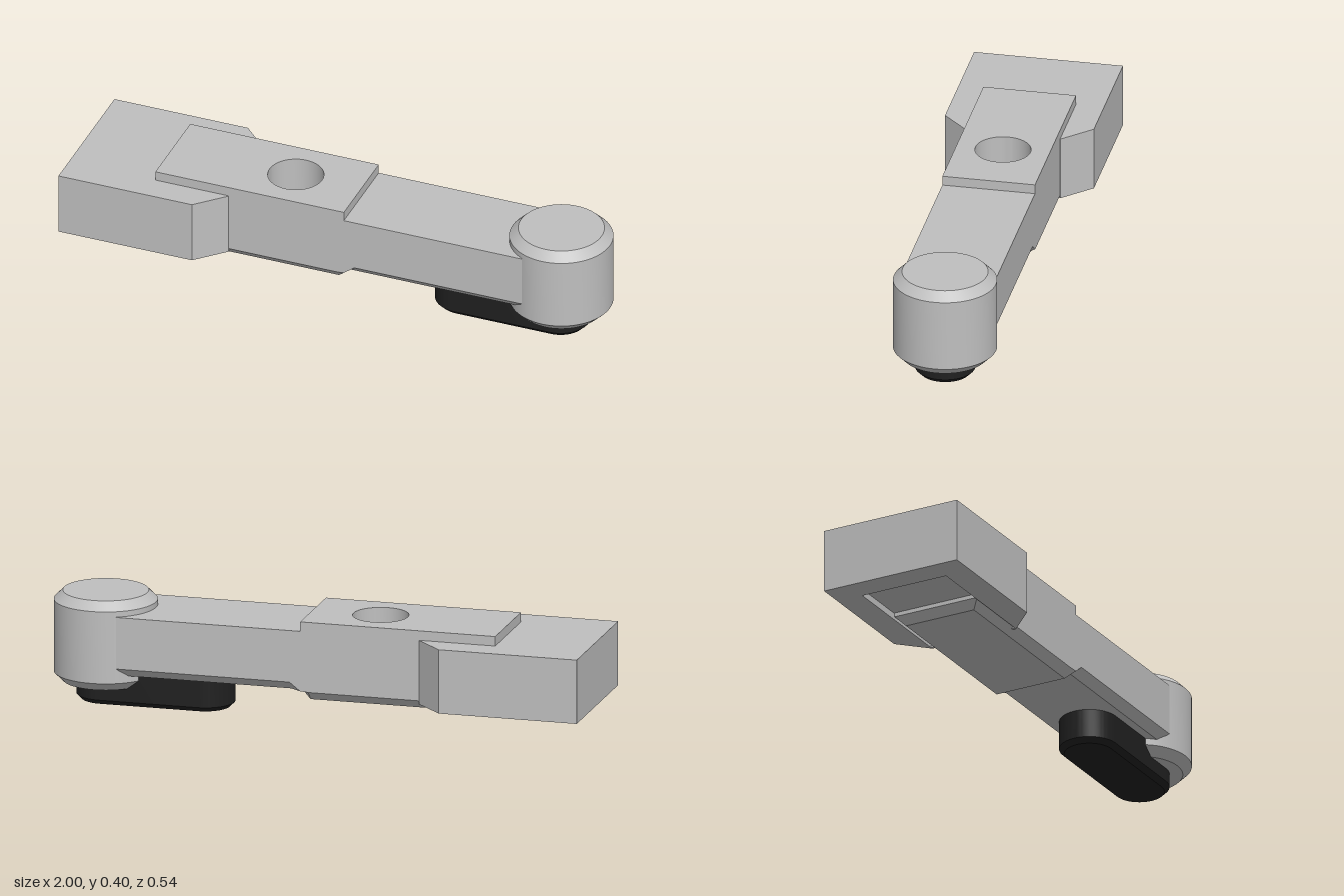
import * as THREE from 'three';
import { toCreasedNormals } from 'three/addons/utils/BufferGeometryUtils.js';

const W = 0.168; // half width of the arm

function polygon(points, Type = THREE.Shape) {
  return new Type(points.map(([x, z]) => new THREE.Vector2(x, z)));
}

function rect(x0, x1, w, Type) {
  return polygon([[x0, -w], [x1, -w], [x1, w], [x0, w]], Type);
}

// Extrude a plan outline upwards from y0 to y1
function slab(shape, y0, y1, options = {}) {
  const g = new THREE.ExtrudeGeometry(shape, { depth: y1 - y0, bevelEnabled: false, curveSegments: 32, ...options });
  g.rotateX(-Math.PI / 2);
  g.translate(0, y0, 0);
  return toCreasedNormals(g, 0.5);
}

// Bevelled underside, lofted along x from [x, side edge y, bottom y, bottom half width]
function undersideGeometry(sections, top) {
  const pos = [], idx = [], n = 6;
  sections.forEach(([x, ys, yb, h]) => {
    pos.push(x, top, W, x, top, -W, x, ys, -W, x, yb, -h, x, yb, h, x, ys, W);
  });
  for (let i = 0; i < sections.length - 1; i++) {
    for (let j = 0; j < n; j++) {
      const k = (j + 1) % n, a = i * n + j, b = i * n + k;
      idx.push(a, a + n, b + n, a, b + n, b);
    }
  }
  for (let j = 1; j < n - 1; j++) idx.push(0, j, j + 1);
  const g = new THREE.BufferGeometry();
  g.setAttribute('position', new THREE.Float32BufferAttribute(pos, 3));
  g.setIndex(idx);
  const flat = g.toNonIndexed();
  flat.computeVertexNormals();
  return flat;
}

export function createModel() {
  const model = new THREE.Group();
  model.name = 'clampArm';
  const grey = new THREE.MeshStandardMaterial({ color: 0xbfbfbf });
  grey.name = 'light grey';
  const black = new THREE.MeshStandardMaterial({ color: 0x202020 });
  black.name = 'black';

  const add = (name, geometry, material = grey) => {
    const mesh = new THREE.Mesh(geometry, material);
    mesh.name = name;
    model.add(mesh);
    return mesh;
  };

  // Wide end block with cut corners and a shallow slot underneath
  const blockOutline = () => polygon([
    [-1, -0.27], [-0.49, -0.27], [-0.39, -0.17], [-0.39, 0.17], [-0.49, 0.27], [-1, 0.27],
  ]);
  add('endBlock', slab(blockOutline(), 0.135, 0.345));
  const rim = blockOutline();
  rim.holes.push(rect(-0.9, -0.4, 0.17, THREE.Path));
  add('endBlockRim', slab(rim, 0.11, 0.135));

  // Thick half of the arm with a blind round hole
  const thick = rect(-0.67, 0.05, W);
  const hole = new THREE.Path();
  hole.absarc(-0.2, 0, 0.1, 0, Math.PI * 2, true);
  thick.holes.push(hole);
  add('thickArm', slab(thick, 0.155, 0.38));

  // Thin half of the arm
  add('thinArm', slab(rect(0.05, 0.73, W), 0.155, 0.345));

  // Stepped underside with bevelled edges
  add('armUnderside', undersideGeometry([
    [-0.67, 0.12, 0.12, W],
    [-0.64, 0.122, 0.09, 0.138],
    [0.02, 0.122, 0.09, 0.138],
    [0.05, 0.124, 0.124, 0.138],
    [0.09, 0.155, 0.124, 0.138],
    [0.70, 0.155, 0.124, 0.138],
    [0.73, 0.155, 0.155, W],
  ], 0.155));

  // Round boss with chamfered rims
  const profile = [[0, 0.068], [0.153, 0.068], [0.185, 0.1], [0.185, 0.365], [0.153, 0.397], [0, 0.397]];
  const boss = new THREE.LatheGeometry(profile.map(([r, y]) => new THREE.Vector2(r, y)), 64);
  add('roundBoss', toCreasedNormals(boss, 0.5)).position.x = 0.815;

  // Rounded pad under the boss; its upper chamfer is buried in the arm
  const c = 0.018, r = 0.107 - c;
  const padOutline = new THREE.Shape();
  padOutline.absarc(0.812, 0, r, -Math.PI / 2, Math.PI / 2, false);
  padOutline.absarc(0.447, 0, r, Math.PI / 2, Math.PI * 1.5, false);
  add('pad', slab(padOutline, c, 0.13, {
    bevelEnabled: true, bevelThickness: c, bevelSize: c, bevelSegments: 1, curveSegments: 24,
  }), black);

  return model;
}
